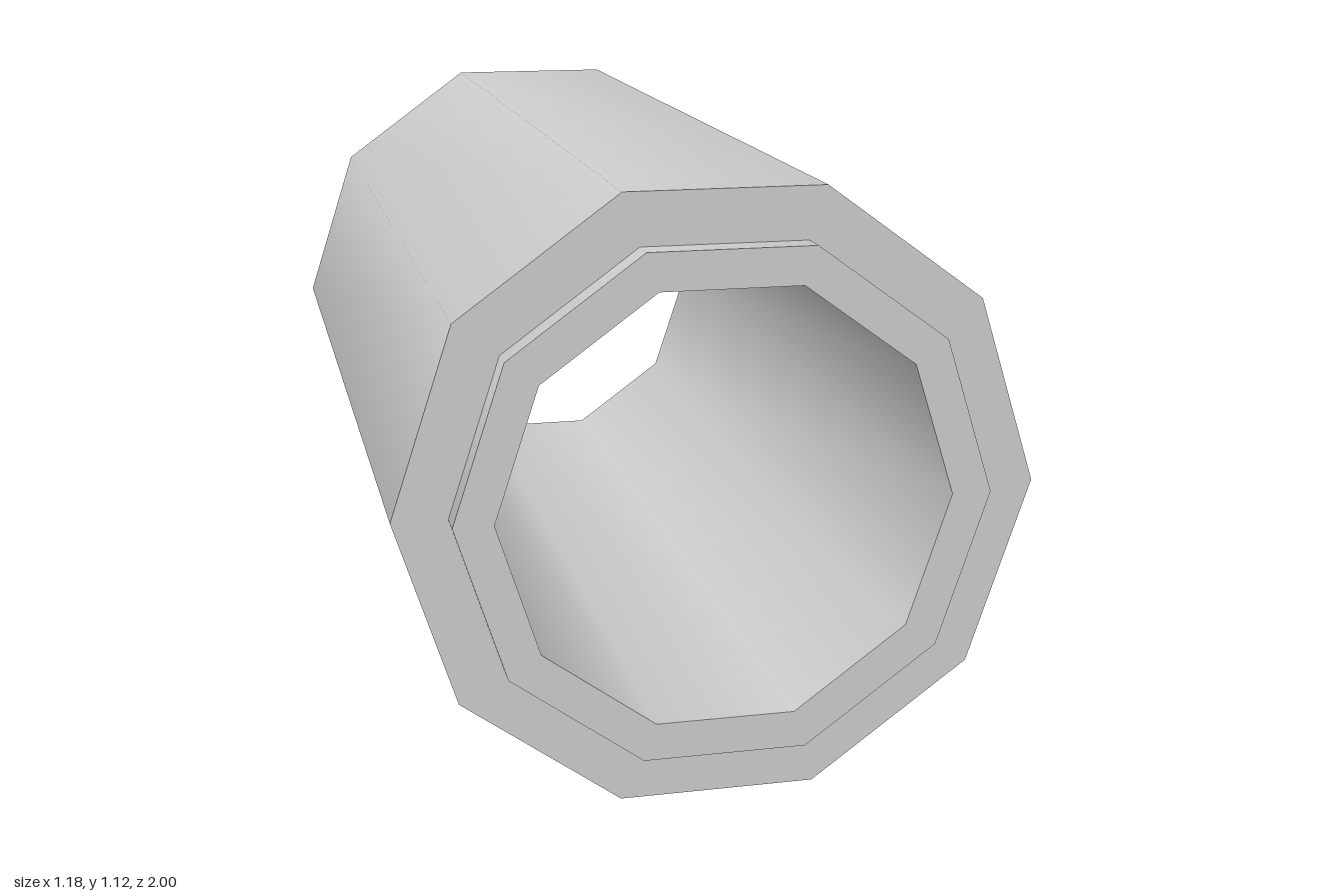
import * as THREE from 'three';

const SIDES = 10;
const OUTER = 0.591, COLLAR = 0.49, BORE = 0.417; // corner radii
const LIP = 0.05; // collar length and socket depth

export function createModel() {
  const group = new THREE.Group();
  group.name = 'pipeSection';
  const material = new THREE.MeshStandardMaterial({ color: 0xcccccc });

  // One band of the turned profile; separate bands keep the rims sharp
  const addBand = (name, r0, z0, r1, z1) => {
    const points = [new THREE.Vector2(r0, z0), new THREE.Vector2(r1, z1)];
    const geometry = new THREE.LatheGeometry(points, SIDES, Math.PI / 2);
    geometry.normalizeNormals();
    geometry.rotateX(Math.PI / 2);
    const mesh = new THREE.Mesh(geometry, material);
    mesh.name = name;
    mesh.position.y = OUTER * Math.sin(Math.PI * 0.4);
    group.add(mesh);
  };

  // Closed profile: [band name, start radius, start z]
  const profile = [
    ['outerWall', OUTER, -1],
    ['frontShoulder', OUTER, 1 - LIP],
    ['collarWall', COLLAR, 1 - LIP],
    ['collarRim', COLLAR, 1],
    ['boreWall', BORE, 1],
    ['socketFloor', BORE, -1 + LIP],
    ['socketWall', COLLAR, -1 + LIP],
    ['backRim', COLLAR, -1],
  ];
  profile.forEach(([name, r, z], i) => {
    const [, nextR, nextZ] = profile[(i + 1) % profile.length];
    addBand(name, r, z, nextR, nextZ);
  });

  return group;
}
